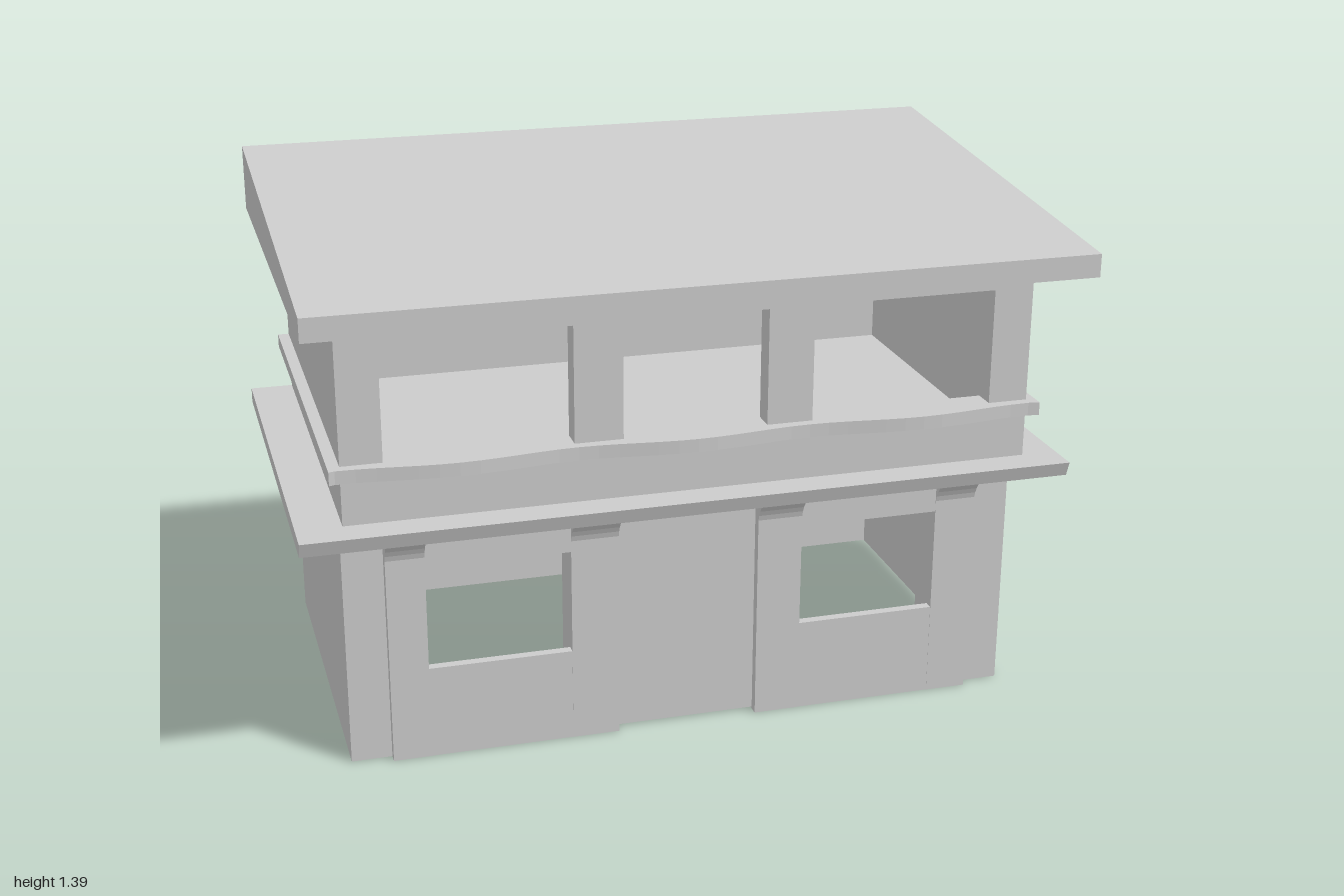
import * as THREE from 'three';

const material = new THREE.MeshStandardMaterial({ color: 0xcccccc, flatShading: true, side: THREE.DoubleSide });
const BACK = -0.625, LEFT = 0.905, RIGHT = -0.885;

export function createModel() {
  const model = new THREE.Group();
  model.name = 'twoStoreyBuilding';

  const add = (name, geometry) => {
    const mesh = new THREE.Mesh(geometry, material);
    mesh.name = name;
    model.add(mesh);
    return mesh;
  };
  const box = (name, x0, x1, y0, y1, z0, z1) => add(name,
    new THREE.BoxGeometry(x1 - x0, y1 - y0, z1 - z0)
      .translate((x0 + x1) / 2, (y0 + y1) / 2, (z0 + z1) / 2));
  const polygon = (points) => new THREE.Shape(points.map(([a, b]) => new THREE.Vector2(a, b)));
  const extrude = (shape, depth) =>
    new THREE.ExtrudeGeometry(shape, { depth, bevelEnabled: false, curveSegments: 6 });
  // side profile drawn in (z, y), swept from x0 to x1
  const sweepX = (name, shape, x0, x1) =>
    add(name, extrude(shape, x1 - x0).rotateY(-Math.PI / 2).translate(x1, 0, 0));
  // front elevation drawn in (x, y), swept from z0 to z1
  const sweepZ = (name, shape, z0, z1) => add(name, extrude(shape, z1 - z0).translate(0, 0, z0));

  // Shell: back wall and the side walls of both storeys
  box('backWall', RIGHT, LEFT, 0, 1.22, BACK, BACK + 0.01);
  for (const [name, x] of [['rightWall', RIGHT], ['leftWall', LEFT - 0.01]]) {
    box(name + 'Lower', x, x + 0.01, 0, 0.65, BACK, 0.365);
    box(name + 'Upper', x, x + 0.01, 0.69, 1.22, BACK, 0.445);
  }

  // Sloping roof
  sweepX('roof', polygon([[BACK, 1.22], [0.625, 1.22], [0.625, 1.28], [BACK, 1.395]]), -0.98, 0.995);

  // Floor slab that projects as a canopy with a leaning front edge
  sweepX('canopySlab', polygon([[BACK, 0.65], [0.515, 0.65], [0.53, 0.69], [BACK, 0.69]]), -1, 1);

  // Lower corners beside the shop front
  box('rightCorner', RIGHT, -0.78, 0, 0.65, 0.345, 0.365);
  box('leftCorner', 0.8, LEFT, 0, 0.65, 0.345, 0.365);

  // Shop front panels with window openings
  const panels = [[-0.78, -0.18, -0.68, -0.305], [0.195, 0.8, 0.315, 0.69]];
  for (const [x0, x1, w0, w1] of panels) {
    const panel = polygon([[x0, 0], [x1, 0], [x1, 0.65], [x0, 0.65]]);
    panel.holes.push(polygon([[w0, 0.25], [w0, 0.53], [w1, 0.53], [w1, 0.25]]));
    sweepZ('windowPanel', panel, 0.365, 0.39);

    // Pilasters at both sides of the window, flaring into brackets
    for (const [a, b] of [[x0, w0], [w1, x1]]) {
      const profile = new THREE.Shape();
      profile.moveTo(0.285, 0);
      profile.lineTo(0.391, 0);
      profile.lineTo(0.391, 0.56);
      profile.quadraticCurveTo(0.4, 0.605, 0.465, 0.65);
      profile.lineTo(0.35, 0.65);
      profile.quadraticCurveTo(0.285, 0.64, 0.285, 0.56);
      sweepX('pilaster', profile, a, b);
    }
  }

  // Double door with a shallow peaked head, and the lintel above
  const mid = 0.003;
  for (const x of [-0.18, 0.195]) {
    const leaf = polygon([[x, 0.005], [mid, 0.005], [mid, 0.567], [x, 0.53]]);
    sweepZ('doorLeaf', leaf, 0.35, 0.365);
  }
  sweepZ('doorLintel', polygon([[-0.18, 0.53], [mid, 0.567], [0.195, 0.53], [0.195, 0.65], [-0.18, 0.65]]), 0.3, 0.365);

  // Upper front: parapet, head beam and posts
  box('parapet', RIGHT, LEFT, 0.69, 0.81, 0.385, 0.445);
  box('headBeam', RIGHT, LEFT, 1.15, 1.22, 0.385, 0.445);
  for (const [x0, x1] of [[RIGHT, -0.78], [-0.305, -0.18], [0.195, 0.315], [0.8, LEFT]])
    box('upperPost', x0, x1, 0.81, 1.15, 0.385, 0.445);

  // Rail moulding wrapping three sides, its front edge gently waved
  const rail = [[-0.875, -BACK], [-0.915, -BACK], [-0.915, -0.475]];
  for (let i = 0; i <= 36; i++) {
    const x = -0.9 + i * 0.05;
    rail.push([x, -0.483 - 0.012 * Math.cos(x * Math.PI * 2 / 0.6)]);
  }
  rail.push([0.93, -0.475], [0.93, -BACK], [0.895, -BACK], [0.895, -0.385], [-0.875, -0.385]);
  add('railMoulding', extrude(polygon(rail), 0.035).rotateX(-Math.PI / 2).translate(0, 0.81, 0));

  return model;
}
